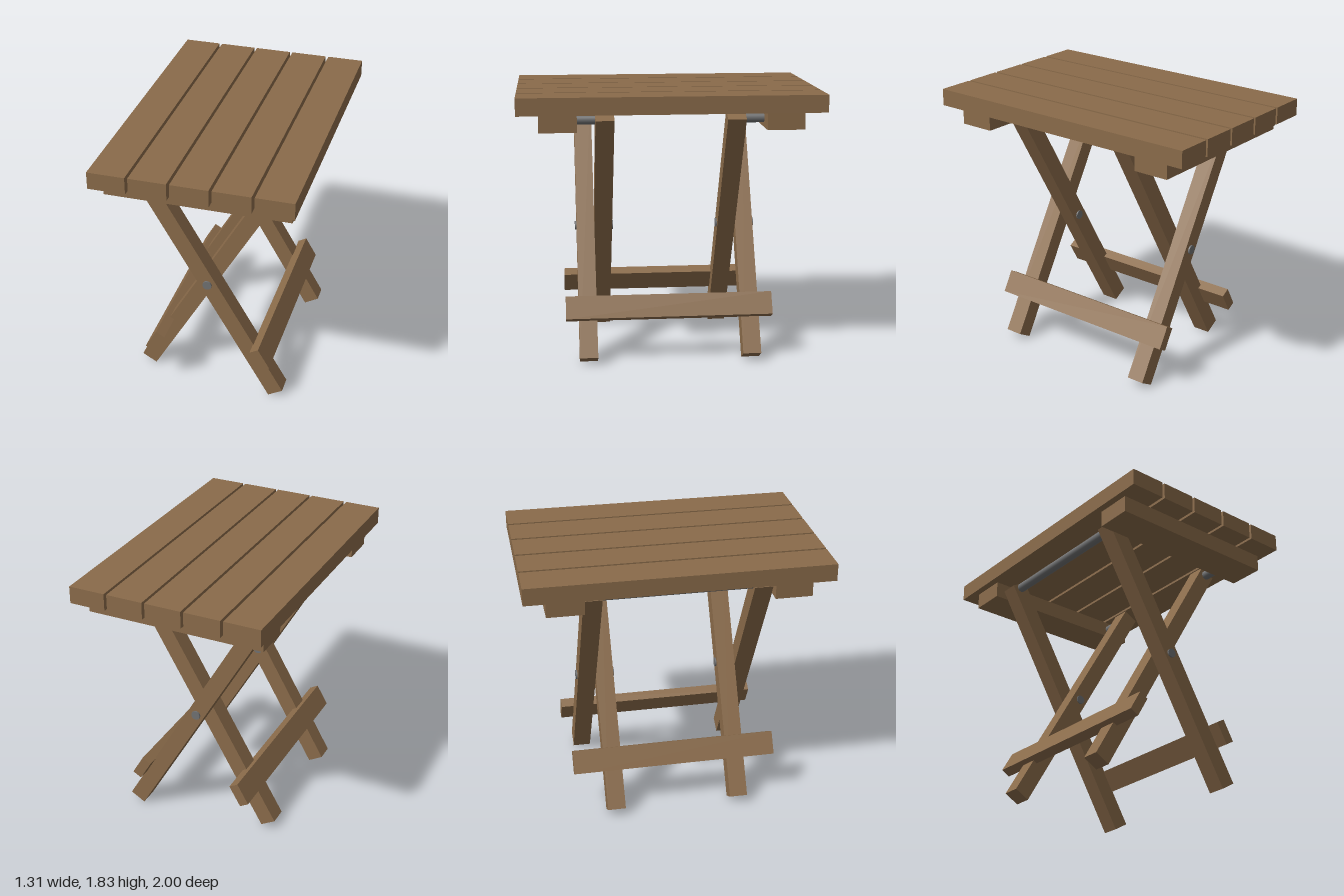
import * as THREE from 'three';

export function createModel() {
  const model = new THREE.Group();
  model.name = 'foldingTable';

  const wood = new THREE.MeshStandardMaterial({ color: 0x8a6b4a });
  wood.name = 'brown wood';
  const steel = new THREE.MeshStandardMaterial({ color: 0x707172 });
  steel.name = 'grey steel';

  const TILT = Math.PI / 6; // lean of the crossed legs
  const PIVOT_X = -0.015;

  function board(name, size, pos, tilt = 0) {
    const mesh = new THREE.Mesh(new THREE.BoxGeometry(...size), wood);
    mesh.name = name;
    mesh.position.set(...pos);
    mesh.rotation.z = tilt;
    model.add(mesh);
  }

  // Round bar running along z between z0 and z1
  function rod(name, radius, x, y, z0, z1) {
    const geo = new THREE.CylinderGeometry(radius, radius, z1 - z0, 24);
    geo.rotateX(Math.PI / 2);
    const mesh = new THREE.Mesh(geo, steel);
    mesh.name = name;
    mesh.position.set(x, y, (z0 + z1) / 2);
    model.add(mesh);
  }

  // Five table top slats
  for (let i = -2; i <= 2; i++) {
    board('topSlat', [0.246, 0.115, 2], [i * 0.265, 1.7725, 0]);
  }

  for (const s of [1, -1]) {
    // Rail under each end of the top
    board('topRail', [1.214, 0.114, 0.245], [0, 1.657, s * 0.7355]);

    // Crossed legs: outer pair stands on +x, inner pair on -x
    board('outerLeg', [0.113, 1.915, 0.123], [PIVOT_X, 0.8575, s * 0.5535], TILT);
    board('innerLeg', [0.113, 1.915, 0.123], [PIVOT_X, 0.8575, s * 0.4305], -TILT);

    // Pivot bolt through each crossing
    rod('pivotBolt', 0.031, PIVOT_X, 0.85, s * 0.493 - 0.133, s * 0.493 + 0.133);

    // Short pin joining each inner leg to its rail
    rod('railPin', 0.032, 0.445, 1.66, s * 0.495 - 0.12, s * 0.495 + 0.12);

    // Foot stretcher on the outside of each leg pair
    board('stretcher', [0.068, 0.158, 1.404], [s * 0.37, 0.361, 0], s * TILT);
  }

  // Long rod between the tops of the outer legs
  rod('topRod', 0.032, -0.475, 1.66, -0.615, 0.615);

  return model;
}
